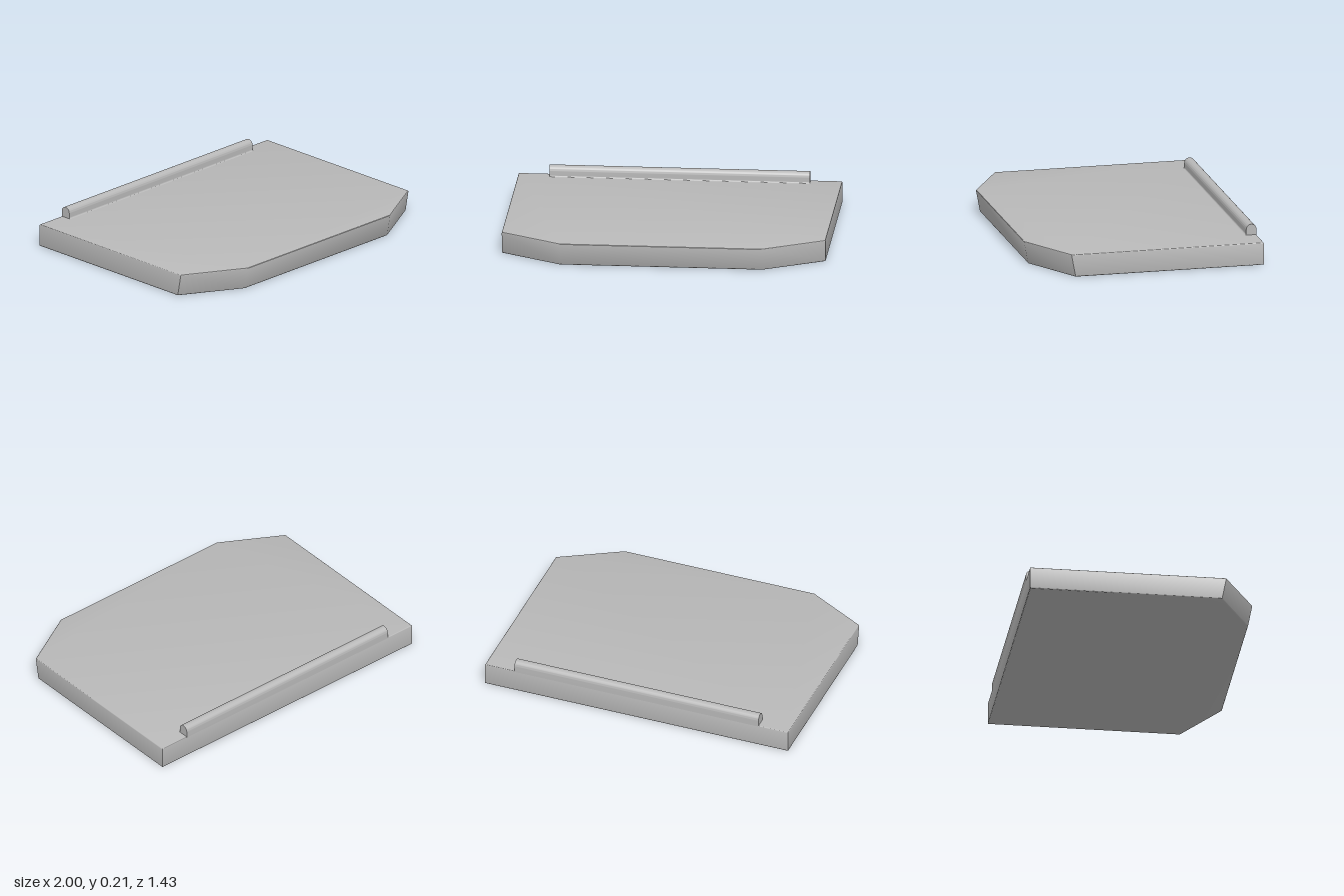
import * as THREE from 'three';
import { toCreasedNormals } from 'three/addons/utils/BufferGeometryUtils.js';

const HEIGHT = 0.142, BACK = -0.715, FRONT = 0.715;

// Slab with clipped front corners, softened edges and a front that leans inward below
function slabGeometry() {
  const b = 0.006;
  const half = [[1, BACK], [1, 0.505], [0.625, FRONT]];
  const outline = [...half, ...half.map(([x, z]) => [-x, z]).reverse()];
  const shape = new THREE.Shape(outline.map(([x, z]) => new THREE.Vector2(x, -z)));
  const geo = new THREE.ExtrudeGeometry(shape, {
    depth: HEIGHT - 2 * b, bevelEnabled: true, bevelThickness: b,
    bevelSize: b, bevelOffset: -b, bevelSegments: 3,
  });
  geo.rotateX(-Math.PI / 2).translate(0, b, 0);
  const p = geo.attributes.position;
  for (let i = 0; i < p.count; i++) {
    if (p.getZ(i) > 0) p.setZ(i, p.getZ(i) - 0.027 * (1 - p.getY(i) / HEIGHT));
  }
  return toCreasedNormals(geo, 0.6);
}

// Round-topped rail with a small fillet where it meets the slab
function railGeometry() {
  const r = 0.0325, top = 0.21, front = BACK + 2 * r, halfLength = 0.805;
  const s = new THREE.Shape();
  s.moveTo(BACK, HEIGHT - 0.012);
  s.lineTo(front + 0.008, HEIGHT - 0.012);
  s.lineTo(front + 0.008, HEIGHT);
  s.quadraticCurveTo(front, HEIGHT, front, HEIGHT + 0.008);
  s.lineTo(front, top - r);
  s.absarc(BACK + r, top - r, r, 0, Math.PI, false);
  s.closePath();
  const geo = new THREE.ExtrudeGeometry(s, {
    depth: 2 * halfLength, bevelEnabled: false, curveSegments: 16,
  });
  geo.rotateY(-Math.PI / 2).translate(halfLength, 0, 0);
  return toCreasedNormals(geo, 0.6);
}

export function createModel() {
  const grey = new THREE.MeshStandardMaterial({ color: 0xb8b8b8 });
  grey.name = 'light grey';
  const group = new THREE.Group();
  group.name = 'trayPanel';
  for (const [name, geo] of [['slab', slabGeometry()], ['backRail', railGeometry()]]) {
    const mesh = new THREE.Mesh(geo, grey);
    mesh.name = name;
    group.add(mesh);
  }
  return group;
}
